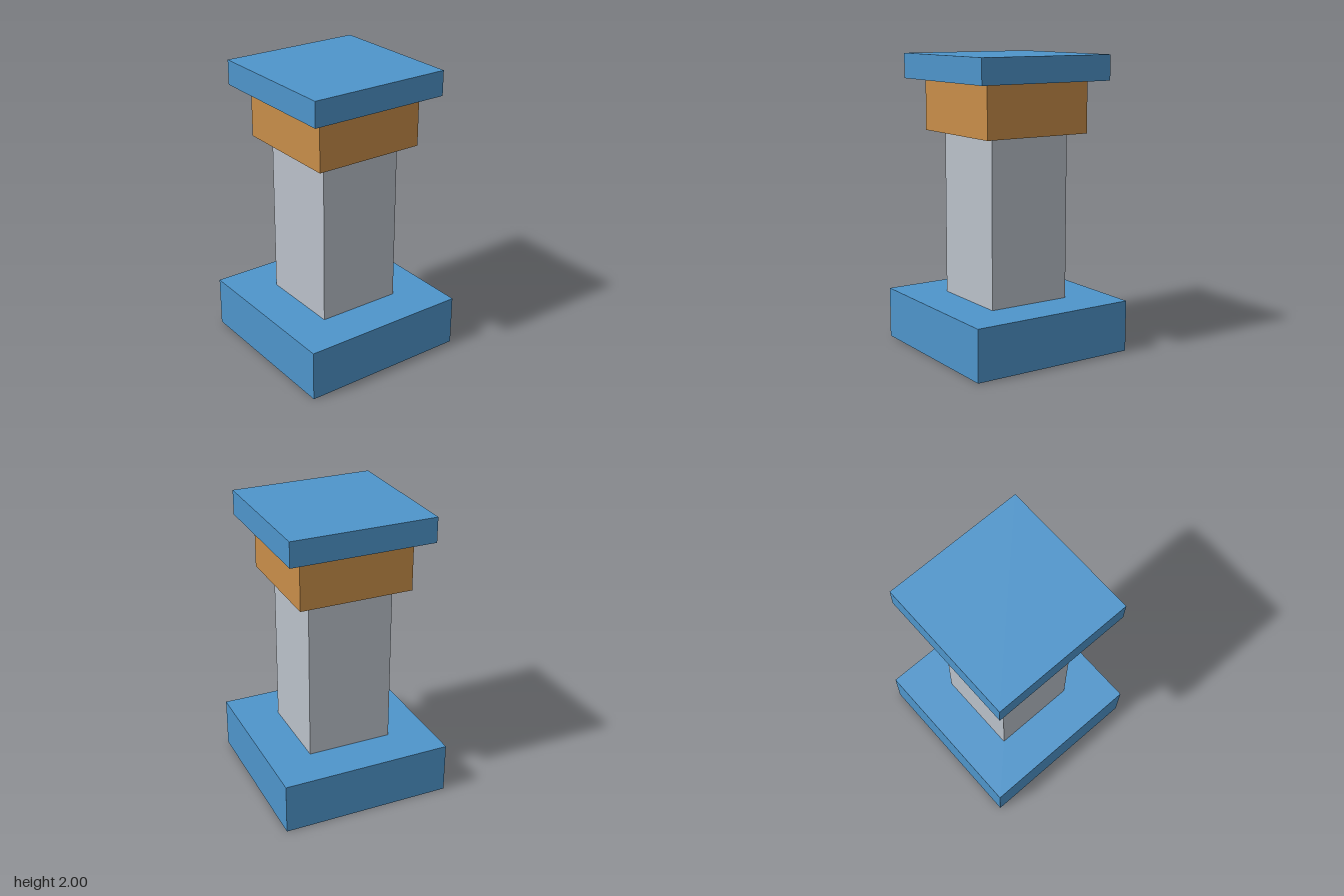
import * as THREE from 'three';

export function createModel() {
  const model = new THREE.Group();
  model.name = 'pedestal';

  const material = (name, color) => {
    const m = new THREE.MeshStandardMaterial({ color });
    m.name = name;
    return m;
  };
  const blue = material('blue', 0x4e95cb);
  const grey = material('grey', 0xbac1ca);
  const ochre = material('ochre', 0xc88e49);

  // Square blocks stacked from the ground up: name, width, bottom, top, material
  const blocks = [
    ['base', 1.18, 0, 0.35, blue],
    ['shaft', 0.59, 0.35, 1.48, grey],
    ['capital', 0.78, 1.48, 1.83, ochre],
    ['topSlab', 0.99, 1.83, 2, blue],
  ];
  for (const [name, width, bottom, top, mat] of blocks) {
    const block = new THREE.Mesh(new THREE.BoxGeometry(width, top - bottom, width), mat);
    block.name = name;
    block.position.y = (bottom + top) / 2;
    model.add(block);
  }

  return model;
}
